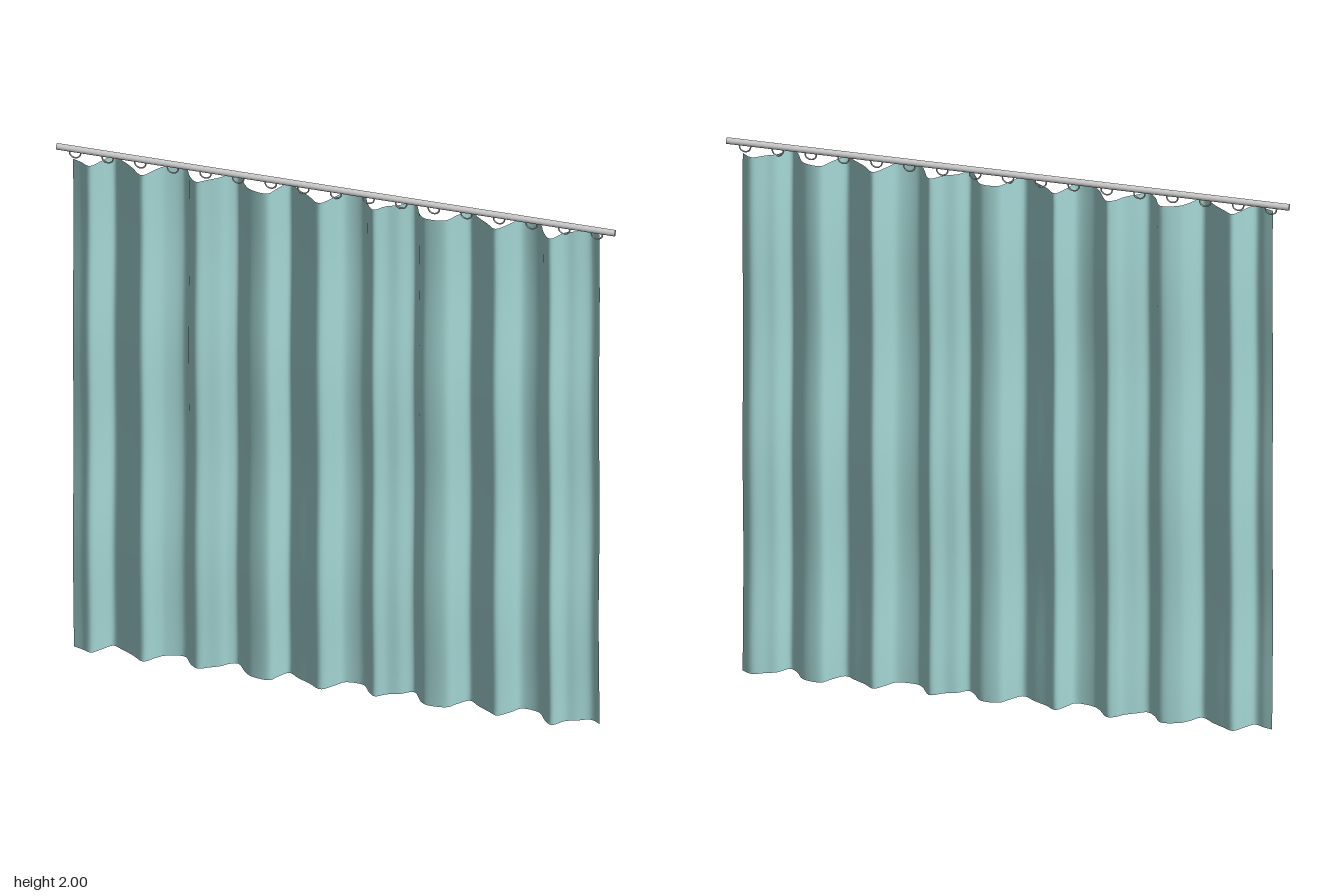
import * as THREE from 'three';

// Fold line of the cloth seen from above: x, z pairs
const FOLDS = [
  [-0.9, 0.012], [-0.87, 0.022], [-0.835, 0.036], [-0.805, 0], [-0.775, -0.036], [-0.74, -0.018], [-0.7, 0.008],
  [-0.655, 0.042], [-0.62, 0.002], [-0.59, -0.024], [-0.53, -0.038], [-0.5, 0.008],
  [-0.47, 0.032], [-0.435, 0.012], [-0.4, -0.01], [-0.375, -0.036], [-0.345, -0.044], [-0.31, 0.008],
  [-0.28, 0.03], [-0.225, 0.036], [-0.2, 0], [-0.17, -0.038], [-0.135, -0.012], [-0.09, 0.014],
  [-0.045, 0.043], [-0.005, 0], [0.025, -0.034], [0.085, -0.034], [0.115, 0.012],
  [0.14, 0.033], [0.175, 0.006], [0.215, -0.01], [0.26, -0.038], [0.295, 0.02],
  [0.325, 0.038], [0.385, 0.032], [0.415, -0.004], [0.45, -0.04], [0.485, -0.012], [0.525, 0.014],
  [0.56, 0.034], [0.6, -0.006], [0.63, -0.042], [0.69, -0.032], [0.72, 0.016],
  [0.75, 0.041], [0.785, 0], [0.82, -0.016], [0.865, -0.038], [0.9, -0.018],
];

function clothGeometry() {
  const top = 1.96, across = 240, up = 40;
  const line = new THREE.SplineCurve(FOLDS.map(([x, z]) => new THREE.Vector2(x, z)));
  const geo = new THREE.PlaneGeometry(1.8, top, across, up);
  const pos = geo.attributes.position;
  for (let i = 0; i < pos.count; i++) {
    const p = line.getPoint((i % (across + 1)) / across);
    const y = pos.getY(i) + top / 2;
    // Folds flatten towards the hem and sway gently over the height
    const depth = 0.82 + 0.3 * (y / top);
    const sway = 0.005 * Math.cos((2 * Math.PI * (y - 1.28)) / 0.85);
    pos.setXYZ(i, p.x, y, p.y * depth + sway);
  }
  geo.computeVertexNormals();
  return geo;
}

export function createModel() {
  const group = new THREE.Group();
  const cloth = new THREE.MeshStandardMaterial({ color: 0xa5d8d6, side: THREE.DoubleSide });
  cloth.name = 'pale teal cloth';
  const metal = new THREE.MeshStandardMaterial({ color: 0xcccccc });
  metal.name = 'light grey metal';

  const add = (name, geo, mat, x, y) => {
    const mesh = new THREE.Mesh(geo, mat);
    mesh.name = name;
    mesh.position.set(x, y, 0);
    group.add(mesh);
    return mesh;
  };

  // Pleated curtain
  add('curtain', clothGeometry(), cloth, 0, 0);

  // Rod above the cloth
  add('rod', new THREE.CylinderGeometry(0.011, 0.011, 1.92, 24), metal, 0, 1.989).rotation.z = Math.PI / 2;

  // Rings joining cloth and rod
  const ring = new THREE.TorusGeometry(0.019, 0.0025, 8, 24);
  for (let i = 0; i < 17; i++) add('ring', ring, metal, -0.897 + (i * 1.794) / 16, 1.974);

  return group;
}
